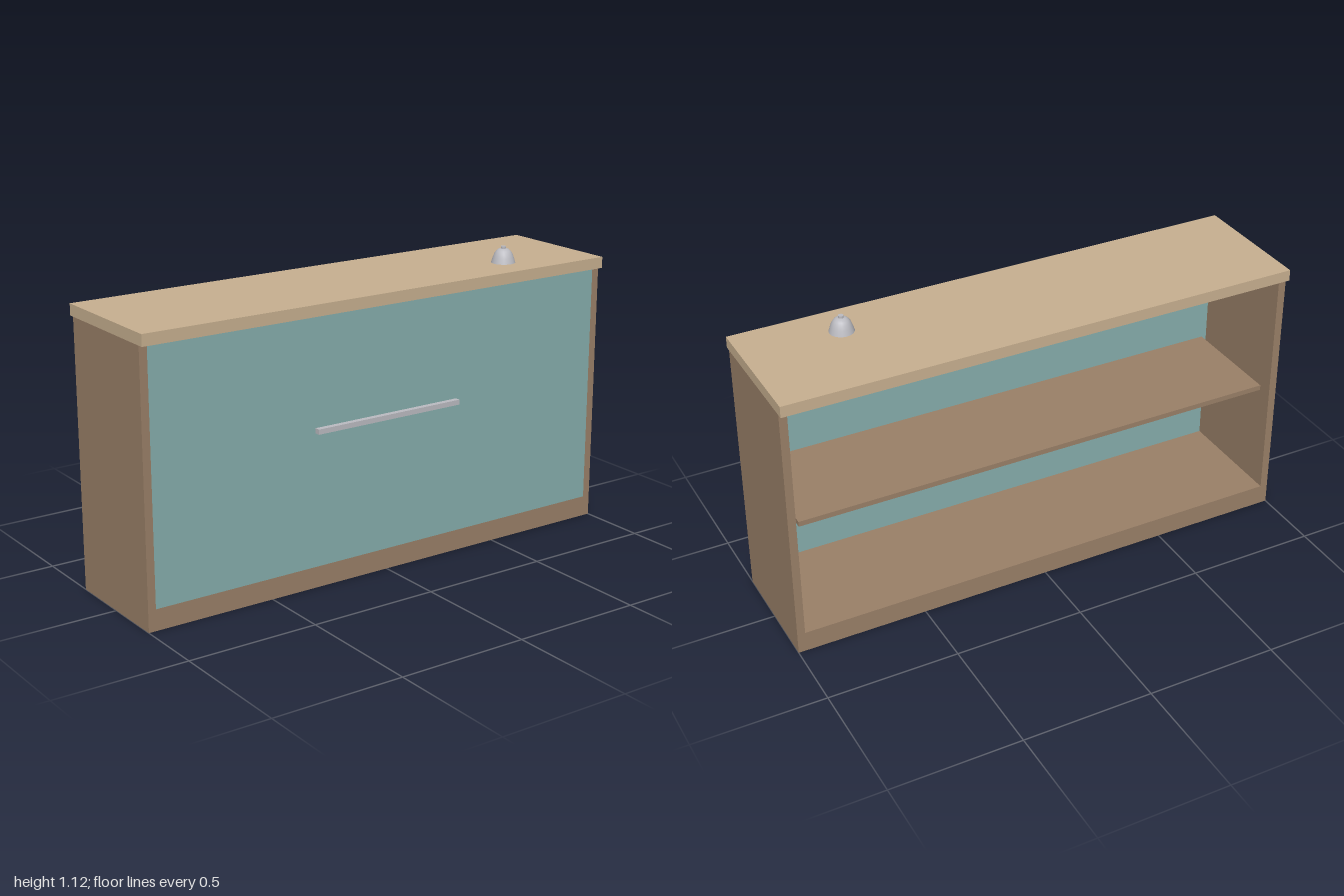
import * as THREE from 'three';

const material = (name, color) => {
  const m = new THREE.MeshStandardMaterial({ color });
  m.name = name;
  return m;
};

export function createModel() {
  const group = new THREE.Group();
  const lightWood = material('light wood', 0xc8b090);
  const darkWood = material('dark wood', 0x9a8068);
  const teal = material('teal panel', 0x86aeac);
  const metal = material('metal', 0xbcbcc2);

  const add = (name, geometry, mat) => {
    const mesh = new THREE.Mesh(geometry, mat);
    mesh.name = name;
    group.add(mesh);
    return mesh;
  };
  // Box given by its minimum and maximum corners
  const box = (name, mat, [x0, y0, z0], [x1, y1, z1]) => {
    const mesh = add(name, new THREE.BoxGeometry(x1 - x0, y1 - y0, z1 - z0), mat);
    mesh.position.set((x0 + x1) / 2, (y0 + y1) / 2, (z0 + z1) / 2);
    return mesh;
  };

  // Cabinet, open at the back
  box('countertop', lightWood, [-1, 1.01, -0.253], [1, 1.053, 0.253]);
  box('leftSide', darkWood, [0.97, 0, -0.232], [1, 1.01, 0.232]);
  box('rightSide', darkWood, [-1, 0, -0.232], [-0.97, 1.01, 0.232]);
  box('base', darkWood, [-0.97, 0, -0.232], [0.97, 0.08, 0.232]);
  box('frontPanel', teal, [-0.97, 0.08, 0.217], [0.97, 1.01, 0.232]);
  box('shelf', darkWood, [-0.95, 0.52, -0.2], [0.95, 0.54, 0.217]);

  // Bar across the front
  box('frontBar', metal, [-0.313, 0.584, 0.232], [0.313, 0.603, 0.253]);

  // Counter bell: dome with a small button
  const dome = [[0.046, 0], [0.04, 0.02], [0.034, 0.035], [0.027, 0.045], [0.018, 0.052], [0, 0.055]];
  const bell = add('bell', new THREE.LatheGeometry(dome.map(([r, y]) => new THREE.Vector2(r, y)), 20), metal);
  bell.position.set(0.63, 1.053, 0.106);
  const button = add('bellButton', new THREE.CylinderGeometry(0.01, 0.01, 0.014, 12), metal);
  button.position.set(0.63, 1.108, 0.106);

  return group;
}
